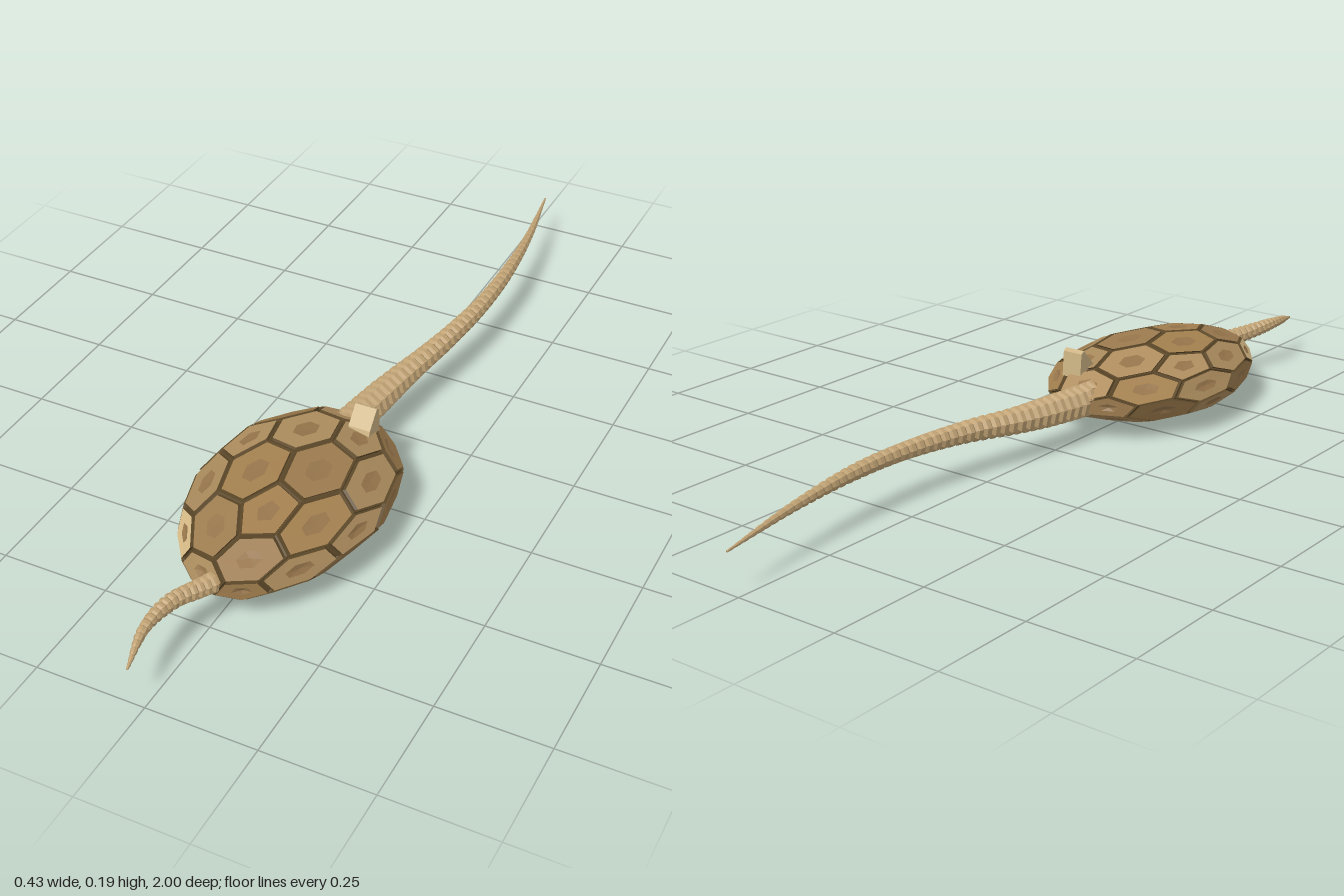
import * as THREE from 'three';
import { mergeGeometries } from 'three/addons/utils/BufferGeometryUtils.js';

const material = (color) => new THREE.MeshStandardMaterial({ color, flatShading: true, side: THREE.DoubleSide });
const plateMats = [0xa98a5c, 0x9c7b4f, 0xb08f60, 0xa3804f].map(material);
const paleMat = material(0xd9bd88);
const coreMat = material(0x96754b);
const grooveMat = material(0x5c4829);
const hornMat = material(0xc0a274);

// Egg-shaped flattened shell: unit direction -> surface point
function shellPoint(p) {
  const taper = 1 - 0.12 * p.z - 0.05 * p.z * p.z;
  return new THREE.Vector3(p.x * 0.215 * taper, 0.082 + p.y * 0.087, 0.41 + p.z * 0.325);
}

// 42 cells (12 pentagons, 30 hexagons) dual to a subdivided icosahedron, standing on a five-fold axis
function shellCells() {
  const pos = new THREE.IcosahedronGeometry(1, 1).attributes.position;
  const t = (1 + Math.sqrt(5)) / 2;
  const q = new THREE.Quaternion().setFromUnitVectors(
    new THREE.Vector3(0, t, 1).normalize(), new THREE.Vector3(0, 1, 0));
  const spin = new THREE.Quaternion().setFromAxisAngle(new THREE.Vector3(0, 1, 0), Math.PI / 10);
  const cells = new Map();
  for (let i = 0; i < pos.count; i += 3) {
    const tri = [0, 1, 2].map((k) =>
      new THREE.Vector3().fromBufferAttribute(pos, i + k).normalize().applyQuaternion(q).applyQuaternion(spin));
    const mid = tri[0].clone().add(tri[1]).add(tri[2]).normalize();
    for (const v of tri) {
      const key = [v.x, v.y, v.z].map((n) => Math.round(n * 1000)).join();
      if (!cells.has(key)) cells.set(key, { center: v, ring: [] });
      cells.get(key).ring.push(mid);
    }
  }
  // order each ring anticlockwise about its centre
  for (const { center, ring } of cells.values()) {
    const u = ring[0].clone().addScaledVector(center, -ring[0].dot(center)).normalize();
    const w = center.clone().cross(u);
    ring.sort((a, b) => Math.atan2(a.dot(w), a.dot(u)) - Math.atan2(b.dot(w), b.dot(u)));
  }
  return [...cells.values()];
}

// Band of triangles between two rings, or a cap when the inner ring is a single point
function band(outer, inner) {
  const out = [];
  outer.forEach((a, i) => {
    const j = (i + 1) % outer.length;
    if (inner.length === 1) out.push(a, outer[j], inner[0]);
    else out.push(a, outer[j], inner[j], a, inner[j], inner[i]);
  });
  const g = new THREE.BufferGeometry().setFromPoints(out);
  g.computeVertexNormals();
  return g;
}

function buildShell() {
  const shell = new THREE.Group();
  shell.name = 'shell';
  const add = (name, geometry, mat) => {
    const mesh = new THREE.Mesh(geometry, mat);
    mesh.name = name;
    shell.add(mesh);
  };
  const grooves = [], cores = [];
  shellCells().forEach(({ center, ring }, n) => {
    const flat = ring.reduce((s, p) => s.add(p), new THREE.Vector3()).divideScalar(ring.length);
    const at = (k, lift) => ring.map((p) => shellPoint(flat.clone().lerp(p, k).multiplyScalar(lift)));
    const base = at(1, 0.985), foot = at(0.92, 0.97), rim = at(0.89, 1.012), inner = at(0.36, 1.012);
    grooves.push(band(base, foot), band(foot, rim));
    const c = shellPoint(center);
    const pale = (c.z < 0.2 && c.y > 0.1 && c.x < 0 && c.x > -0.1) || (c.z > 0.5 && c.y > 0.1 && c.x < -0.1);
    add('shellPlate', band(rim, inner), pale ? paleMat : plateMats[(n * 7) % 4]);
    // shallow dimple at the middle of the plate
    cores.push(band(inner, [shellPoint(flat.clone().multiplyScalar(0.998))]));
  });
  add('shellGrooves', mergeGeometries(grooves), grooveMat);
  add('plateDimples', mergeGeometries(cores), coreMat);
  return shell;
}

// Ringed, tapering horn: bead segments strung along a curve
function ringedHorn(name, points, radii, count) {
  const curve = new THREE.CatmullRomCurve3(points.map((p) => new THREE.Vector3(...p)));
  const radius = (t) => {
    const s = Math.min(t, 0.9999) * (radii.length - 1), i = Math.floor(s);
    return THREE.MathUtils.lerp(radii[i], radii[i + 1], s - i);
  };
  const up = new THREE.Vector3(0, 1, 0);
  const beads = [];
  for (let i = 0; i < count; i++) {
    const a = curve.getPointAt(i / count), b = curve.getPointAt((i + 1) / count);
    const len = a.distanceTo(b), r0 = radius(i / count), r1 = radius((i + 1) / count);
    const neck = THREE.MathUtils.lerp(0.72, 0.92, i / count);
    const profile = [[r0 * neck, 0], [r0, 0.25], [r0 * 0.6 + r1 * 0.4, 0.7], [r1 * neck, 1]]
      .map(([r, h]) => new THREE.Vector2(r, h * len));
    const g = new THREE.LatheGeometry(profile, 8);
    g.applyQuaternion(new THREE.Quaternion().setFromUnitVectors(up, b.clone().sub(a).normalize()));
    beads.push(g.translate(a.x, a.y, a.z));
  }
  const mesh = new THREE.Mesh(mergeGeometries(beads), hornMat);
  mesh.name = name;
  return mesh;
}

// Small wedge-shaped fin on the back of the shell
function buildFin() {
  const side = new THREE.Shape([[-0.21, 0.12], [-0.15, 0.12], [-0.155, 0.18], [-0.165, 0.186], [-0.2, 0.148]]
    .map(([x, y]) => new THREE.Vector2(x, y)));
  const g = new THREE.ExtrudeGeometry(side, { depth: 0.052, bevelEnabled: false });
  g.rotateY(Math.PI / 2).translate(0.04, 0, 0);
  const fin = new THREE.Mesh(g, material(0xcdb484));
  fin.name = 'fin';
  return fin;
}

export function createModel() {
  const model = new THREE.Group();
  model.name = 'shelledCreature';
  model.add(buildShell(), buildFin());
  model.add(ringedHorn('tail',
    [[0, 0.085, 0.15], [0.012, 0.086, 0.05], [0.035, 0.09, -0.1], [0.065, 0.098, -0.25], [0.085, 0.102, -0.42],
      [0.085, 0.102, -0.58], [0.065, 0.095, -0.78], [0.025, 0.085, -1]],
    [0.042, 0.038, 0.03, 0.025, 0.021, 0.018, 0.013, 0.008, 0.002], 48));
  model.add(ringedHorn('frontHorn',
    [[0.005, 0.083, 0.68], [-0.018, 0.09, 0.74], [-0.045, 0.1, 0.81], [-0.053, 0.101, 0.9], [-0.032, 0.085, 1]],
    [0.025, 0.021, 0.017, 0.011, 0.002], 20));
  return model;
}
